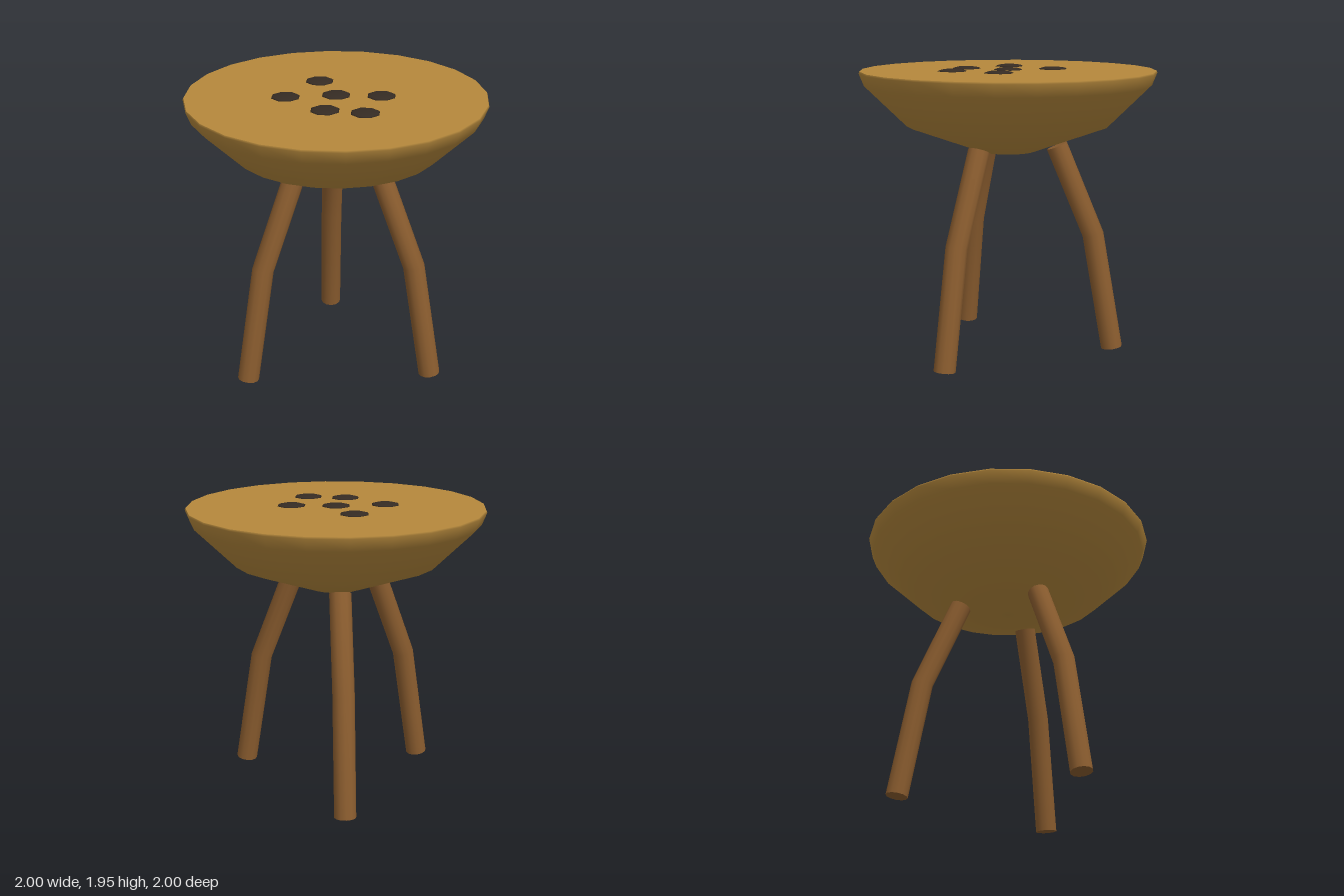
import * as THREE from 'three';

const mat = (name, color) => {
  const m = new THREE.MeshStandardMaterial({ color });
  m.name = name;
  return m;
};

export function createModel() {
  const model = new THREE.Group();
  model.name = 'stool';
  const seatWood = mat('seatWood', 0xb5883c);
  const legWood = mat('legWood', 0x8b5d2f);
  const darkSpot = mat('darkSpot', 0x352b23);

  const add = (name, geometry, material, parent = model) => {
    const mesh = new THREE.Mesh(geometry, material);
    mesh.name = name;
    parent.add(mesh);
    return mesh;
  };

  // Bowl-shaped underside of the seat
  const profile = [[0, 1.395], [0.185, 1.395], [0.69, 1.578], [0.967, 1.85], [1, 1.933], [0.995, 1.945]];
  add('seatBowl', new THREE.LatheGeometry(profile.map(([x, y]) => new THREE.Vector2(x, y)), 24), seatWood);

  // Flat top of the seat
  const top = add('seatTop', new THREE.CircleGeometry(0.995, 24), seatWood);
  top.rotation.x = -Math.PI / 2;
  top.position.y = 1.945;

  // Low domed spots on the seat
  const spots = new THREE.Group();
  spots.name = 'spots';
  model.add(spots);
  const dome = new THREE.SphereGeometry(0.097, 8, 4, 0, Math.PI * 2, 0, Math.PI / 2).scale(1, 0.17, 1);
  for (const [x, z] of [[0, 0], [-0.23, -0.21], [0.273, -0.117], [-0.278, 0.182], [0.07, 0.297], [0.32, 0.228]]) {
    add('spot', dome, darkSpot, spots).position.set(x, 1.945, z);
  }

  // Bent leg: a cylinder whose three rings follow a kinked path [x, y, tilt]
  const rings = { 1: [0.334, 1.433, 0.385], 0: [0.587, 0.823, 0.24], '-1': [0.727, 0.02, 0.15] };
  const leg = new THREE.CylinderGeometry(0.073, 0.073, 2, 12, 2);
  const { position, normal } = leg.attributes;
  const axis = new THREE.Vector3(0, 0, 1);
  const v = new THREE.Vector3();
  for (let i = 0; i < position.count; i++) {
    const [x, y, tilt] = rings[Math.round(position.getY(i))];
    v.set(position.getX(i), 0, position.getZ(i)).applyAxisAngle(axis, tilt);
    position.setXYZ(i, v.x + x, v.y + y, v.z);
    v.fromBufferAttribute(normal, i).applyAxisAngle(axis, tilt);
    normal.setXYZ(i, v.x, v.y, v.z);
  }
  for (let i = 0; i < 3; i++) {
    add('leg', leg, legWood).rotation.y = (i * Math.PI * 2) / 3;
  }

  return model;
}
